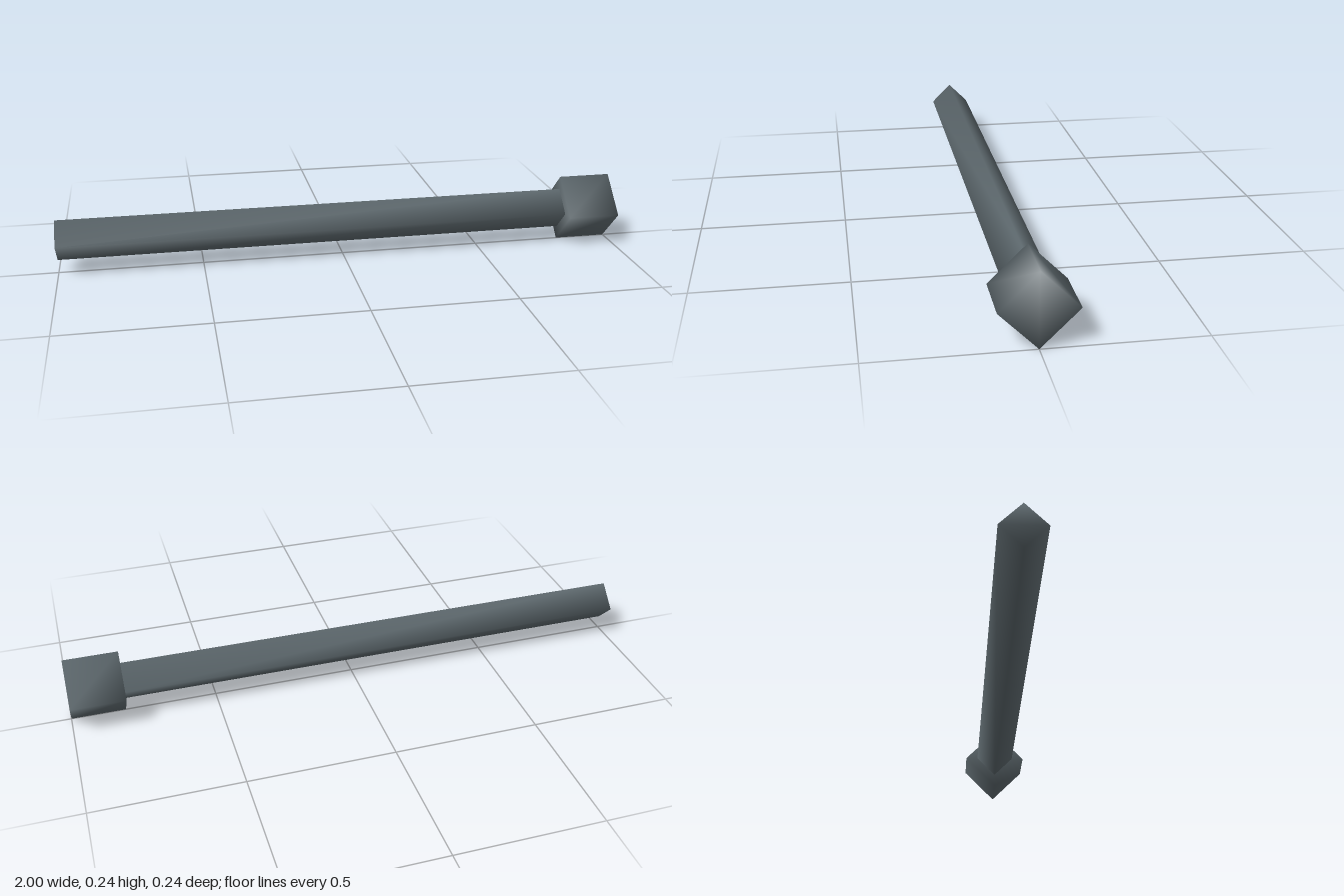
import * as THREE from 'three';
import { mergeVertices } from 'three/addons/utils/BufferGeometryUtils.js';

const AXIS_Y = 0.12;

// Square bar along x standing on its edge, with normals blended over the corners
function diamondBar(name, x0, x1, halfDiagonal, material) {
  const side = halfDiagonal * Math.SQRT2;
  let geometry = new THREE.BoxGeometry(x1 - x0, side, side);
  geometry.deleteAttribute('normal');
  geometry.deleteAttribute('uv');
  geometry = mergeVertices(geometry);
  geometry.rotateX(Math.PI / 4);
  geometry.computeVertexNormals();
  const mesh = new THREE.Mesh(geometry, material);
  mesh.name = name;
  mesh.position.set((x0 + x1) / 2, AXIS_Y, 0);
  return mesh;
}

export function createModel() {
  const group = new THREE.Group();
  group.name = 'squareBolt';
  const steel = new THREE.MeshStandardMaterial({ color: 0x5c676c });

  // Long shaft, then the thicker head at the +x end
  group.add(diamondBar('shaft', -1, 0.815, 0.073, steel));
  group.add(diamondBar('head', 0.815, 1, 0.12, steel));
  return group;
}
